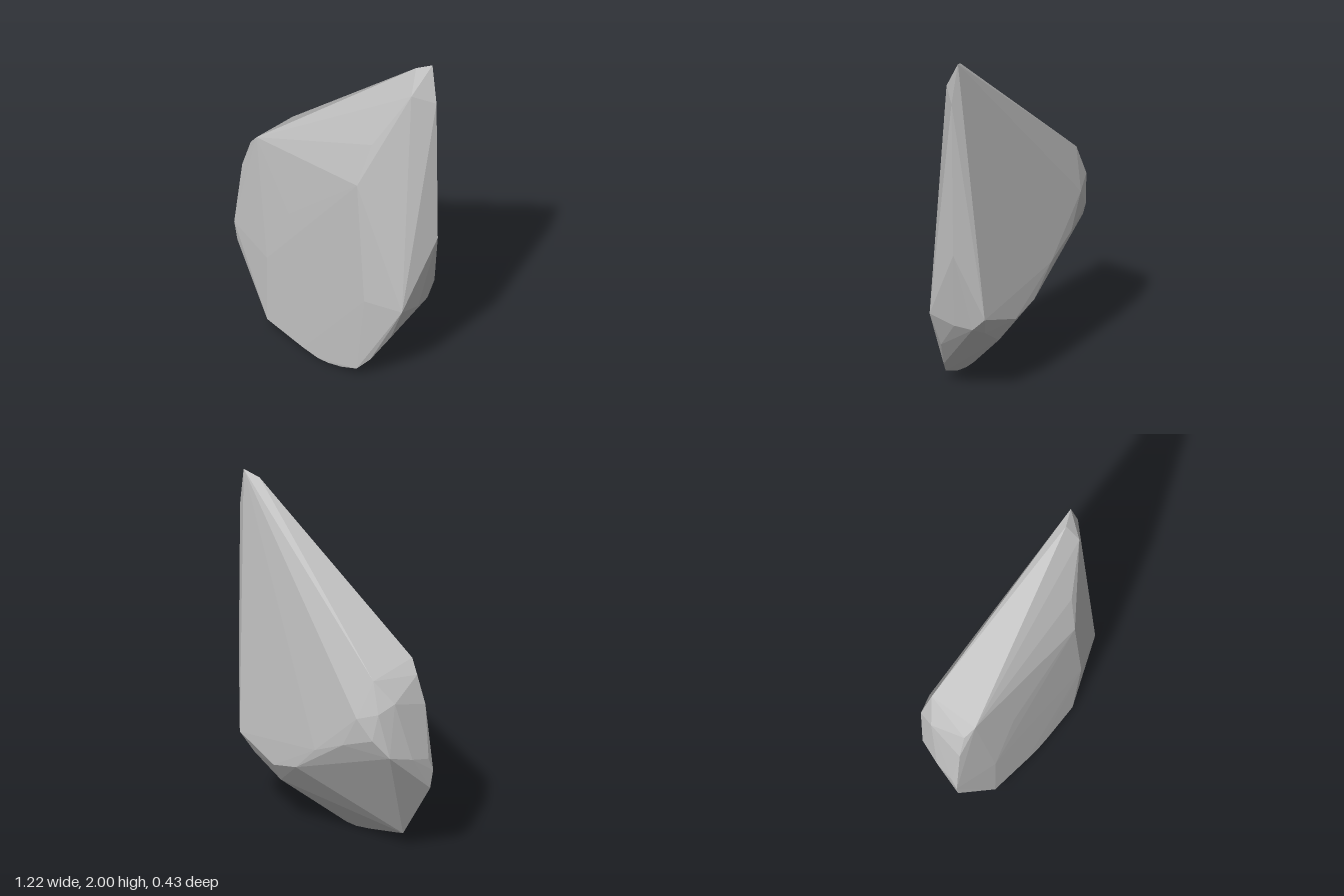
import * as THREE from 'three';
import { ConvexGeometry } from 'three/addons/geometries/ConvexGeometry.js';

// Corner points of each region of the faceted stone
const peak = [
  [0.572, 2.0, -0.055], [0.49, 1.965, -0.02], [0.612, 1.78, -0.04], [0.515, 1.83, 0.05],
];
const frontFace = [
  [0.33, 1.49, 0.15], [0.28, 1.24, 0.213], [0.33, 0.52, 0.215],
  [-0.2, 0.83, 0.193], [-0.35, 0.48, 0.193],
];
const leftRim = [
  [0.612, 0.91, -0.05], [0.53, 0.5, 0.145], [0.52, 0.46, 0.0], [0.5, 0.45, -0.1],
  [0.44, 0.29, 0.13], [0.34, 0.13, 0.175],
];
const bottomRim = [
  [0.27, 0.055, 0.205], [0.16, 0.015, 0.2], [0.07, 0, 0.2], [0, 0, 0.2],
  [-0.1, 0.02, 0.198], [-0.35, 0.085, 0.19],
];
const rightRim = [
  [-0.595, 0.46, 0.14], [-0.612, 0.57, 0.145], [-0.612, 0.65, 0.11], [-0.57, 0.95, 0.13],
  [-0.52, 1.11, 0.12], [-0.46, 1.18, 0.145], [-0.6, 0.68, 0.0], [-0.55, 1.02, -0.08],
];
const backFace = [
  [-0.46, 1.15, -0.15], [-0.52, 0.98, -0.175], [-0.4, 0.93, -0.215], [-0.49, 0.82, -0.19],
  [-0.56, 0.72, -0.13], [-0.3, 0.74, -0.217], [-0.1, 0.64, -0.217], [0.05, 0.48, -0.205],
  [0.22, 0.43, -0.195], [0.25, 0.3, -0.11], [0.42, 0.41, -0.13], [0.49, 0.52, -0.17],
];

export function createModel() {
  const group = new THREE.Group();
  group.name = 'rock';

  const stone = new THREE.MeshStandardMaterial({ color: 0xc3c3c3 });
  stone.name = 'light grey stone';

  // One convex shell with flat facets
  const corners = [peak, frontFace, leftRim, bottomRim, rightRim, backFace]
    .flat()
    .map((p) => new THREE.Vector3(...p));
  const rock = new THREE.Mesh(new ConvexGeometry(corners), stone);
  rock.name = 'stoneBody';
  group.add(rock);
  return group;
}
